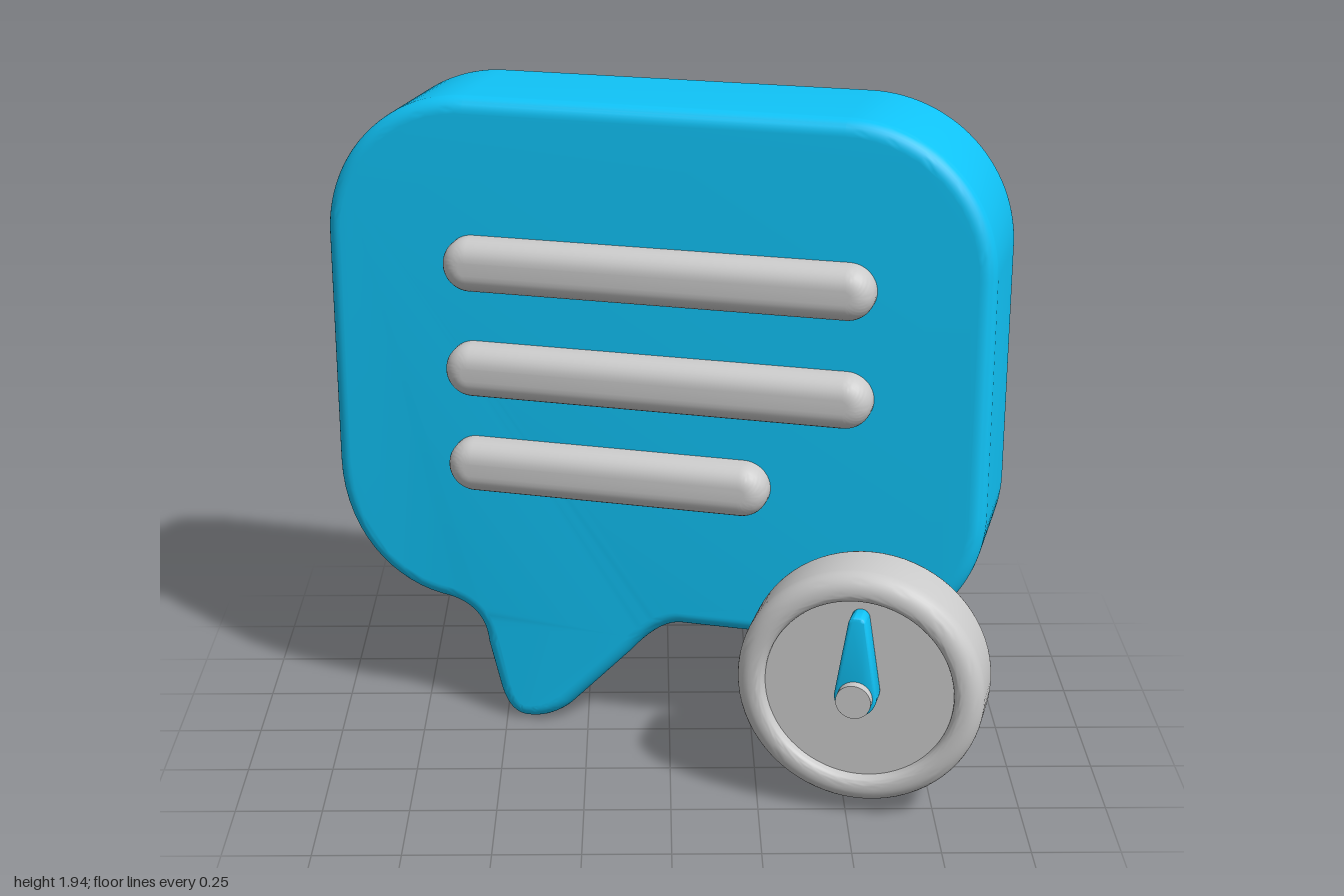
import * as THREE from 'three';
import { toCreasedNormals } from 'three/addons/utils/BufferGeometryUtils.js';

const grey = new THREE.MeshStandardMaterial({ color: 0xcccccc });
const blue = new THREE.MeshStandardMaterial({ color: 0x10c4f8 });

// Slab with rounded edges: outline in x/y, filling z from back to front
function slab(name, shape, back, front, bevel, material) {
  const geo = new THREE.ExtrudeGeometry(shape, {
    depth: front - back - 2 * bevel,
    bevelThickness: bevel,
    bevelSize: bevel,
    bevelOffset: -bevel,
    bevelSegments: 8,
    curveSegments: 14,
  });
  geo.translate(0, 0, back + bevel);
  const mesh = new THREE.Mesh(toCreasedNormals(geo, 0.6), material);
  mesh.name = name;
  return mesh;
}

// Speech bubble outline with its pointed tail
function bubbleShape() {
  const w = 0.983, top = 1.94, bottom = 0.37, r = 0.43;
  const s = new THREE.Shape();
  s.moveTo(0.09, bottom);
  s.lineTo(w - r, bottom);
  s.absarc(w - r, bottom + r, r, -Math.PI / 2, 0);
  s.absarc(w - r, top - r, r, 0, Math.PI / 2);
  s.absarc(-w + r, top - r, r, Math.PI / 2, Math.PI);
  s.lineTo(-w, bottom + r);
  s.bezierCurveTo(-w, 0.56, -0.83, 0.41, -0.67, 0.38);
  s.quadraticCurveTo(-0.535, 0.365, -0.525, 0.24);
  s.lineTo(-0.49, 0.1);
  s.quadraticCurveTo(-0.465, 0, -0.4, 0);
  s.quadraticCurveTo(-0.325, 0, -0.26, 0.06);
  s.lineTo(-0.07, 0.26);
  s.quadraticCurveTo(0.02, bottom, 0.09, bottom);
  return s;
}

// Horizontal bar outline with round ends
function pillShape(x0, x1, y, r) {
  const s = new THREE.Shape();
  s.absarc(x1 - r, y, r, -Math.PI / 2, Math.PI / 2);
  s.absarc(x0 + r, y, r, Math.PI / 2, Math.PI * 1.5);
  s.closePath();
  return s;
}

// Clock hand outline: wide round hub tapering to a narrow round tip
function handShape(hub, tip, length) {
  const s = new THREE.Shape();
  s.absarc(0, 0, hub, Math.PI - 0.12, Math.PI * 2 + 0.12);
  s.absarc(0, length - tip, tip, 0.12, Math.PI - 0.12);
  s.closePath();
  return s;
}

// Clock case: rounded rim around a recessed face
function clockCase() {
  const p = [new THREE.Vector2(0, 0)];
  const arc = (cx, cy, r, from, to) => {
    for (let i = 0; i <= 8; i++) {
      const a = from + ((to - from) * i) / 8;
      p.push(new THREE.Vector2(cx + r * Math.cos(a), cy + r * Math.sin(a)));
    }
  };
  const H = Math.PI / 2;
  arc(0.3025, 0.05, 0.05, -H, 0);
  arc(0.3025, 0.175, 0.05, 0, H);
  arc(0.295, 0.2, 0.025, H, 2 * H);
  p.push(new THREE.Vector2(0.27, 0.195), new THREE.Vector2(0, 0.195));
  const geo = new THREE.LatheGeometry(p, 72);
  geo.rotateX(H);
  const mesh = new THREE.Mesh(toCreasedNormals(geo, 0.5), grey);
  mesh.name = 'clockCase';
  return mesh;
}

export function createModel() {
  const model = new THREE.Group();
  model.name = 'messageWithClock';

  // Everything is turned slightly about the vertical axis
  const body = new THREE.Group();
  body.name = 'turnedBody';
  body.position.z = -0.175;
  body.rotation.y = -Math.PI / 12;
  model.add(body);

  body.add(slab('speechBubble', bubbleShape(), -0.217, 0.217, 0.045, blue));

  // Text bars
  [[1.46, 0.655], [1.14, 0.655], [0.843, 0.36]].forEach(([y, end], i) => {
    body.add(slab(`textBar${i + 1}`, pillShape(-0.61, end, y, 0.08), 0.12, 0.3, 0.06, grey));
  });

  // Clock in front of the lower corner
  const clock = new THREE.Group();
  clock.name = 'clock';
  clock.position.set(0.689, 0.393, 0.335);
  clock.add(clockCase());
  clock.add(slab('clockHand', handShape(0.06, 0.026, 0.245), 0.19, 0.26, 0.008, blue));
  const pin = new THREE.Mesh(new THREE.CylinderGeometry(0.05, 0.05, 0.1, 32), grey);
  pin.name = 'centrePin';
  pin.rotation.x = Math.PI / 2;
  pin.position.z = 0.238;
  clock.add(pin);
  body.add(clock);

  return model;
}
